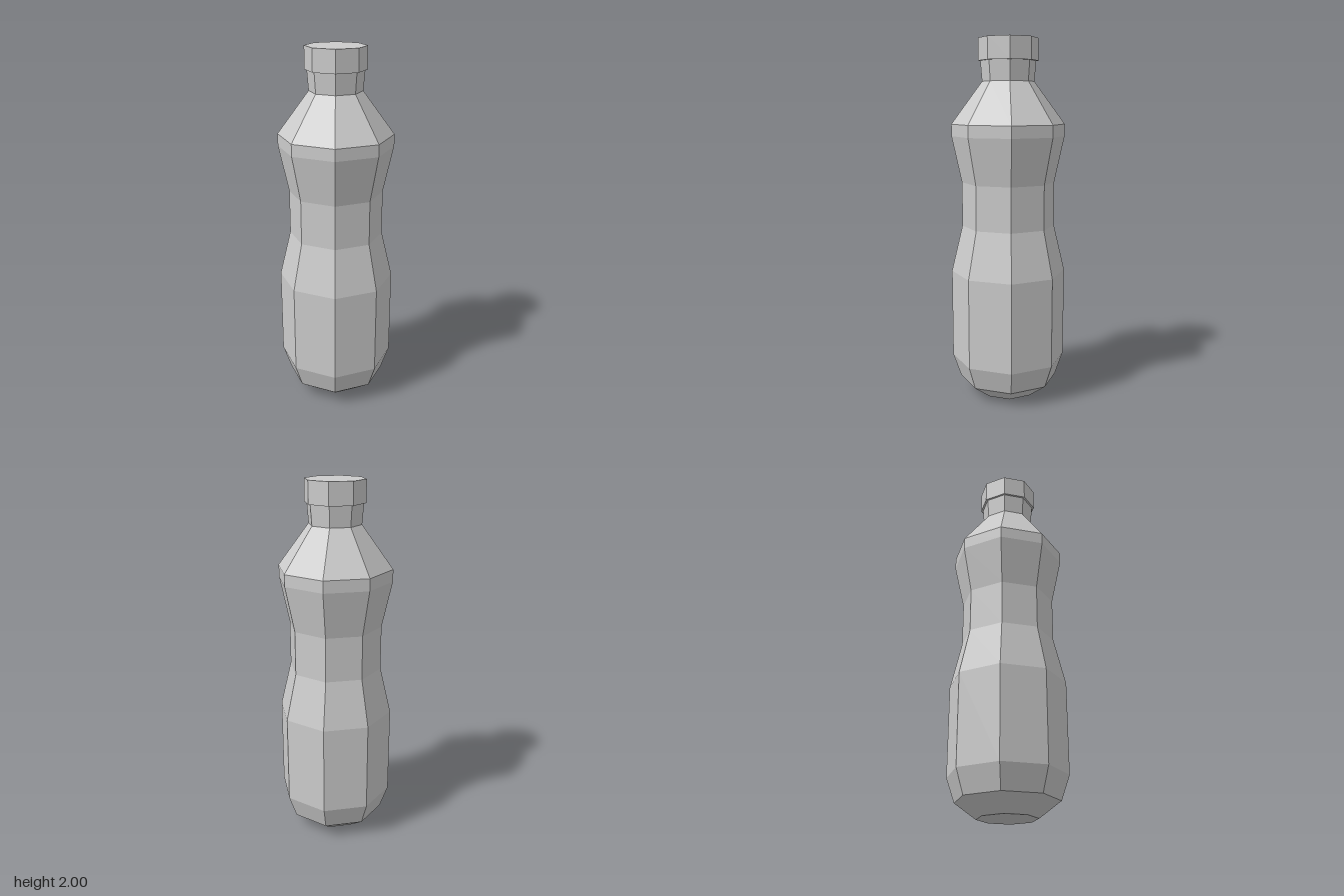
import * as THREE from 'three';

const SIDES = 8;

// Eight-sided turned part from [radius, height] pairs, listed bottom to top
function turned(name, profile, material) {
  const points = profile.map(([r, y]) => new THREE.Vector2(r, y));
  const mesh = new THREE.Mesh(new THREE.LatheGeometry(points, SIDES), material);
  mesh.name = name;
  return mesh;
}

export function createModel() {
  const group = new THREE.Group();
  group.name = 'bottle';

  const grey = new THREE.MeshStandardMaterial({ color: 0xcccccc, flatShading: true });
  grey.name = 'light grey';

  // Body: closed base, rounded foot, pinched grip and sloping shoulder
  group.add(turned('body', [
    [0, 0], [0.16, 0], [0.275, 0.085], [0.32, 0.215], [0.32, 0.715],
    [0.258, 0.975], [0.258, 1.22], [0.313, 1.475], [0.313, 1.54], [0.143, 1.77],
  ], grey));

  // Neck, flaring slightly towards the cap
  group.add(turned('neck', [[0.143, 1.77], [0.152, 1.88]], grey));

  // Cap with closed top and underside
  group.add(turned('cap', [[0, 1.88], [0.164, 1.88], [0.164, 2], [0, 2]], grey));

  return group;
}
